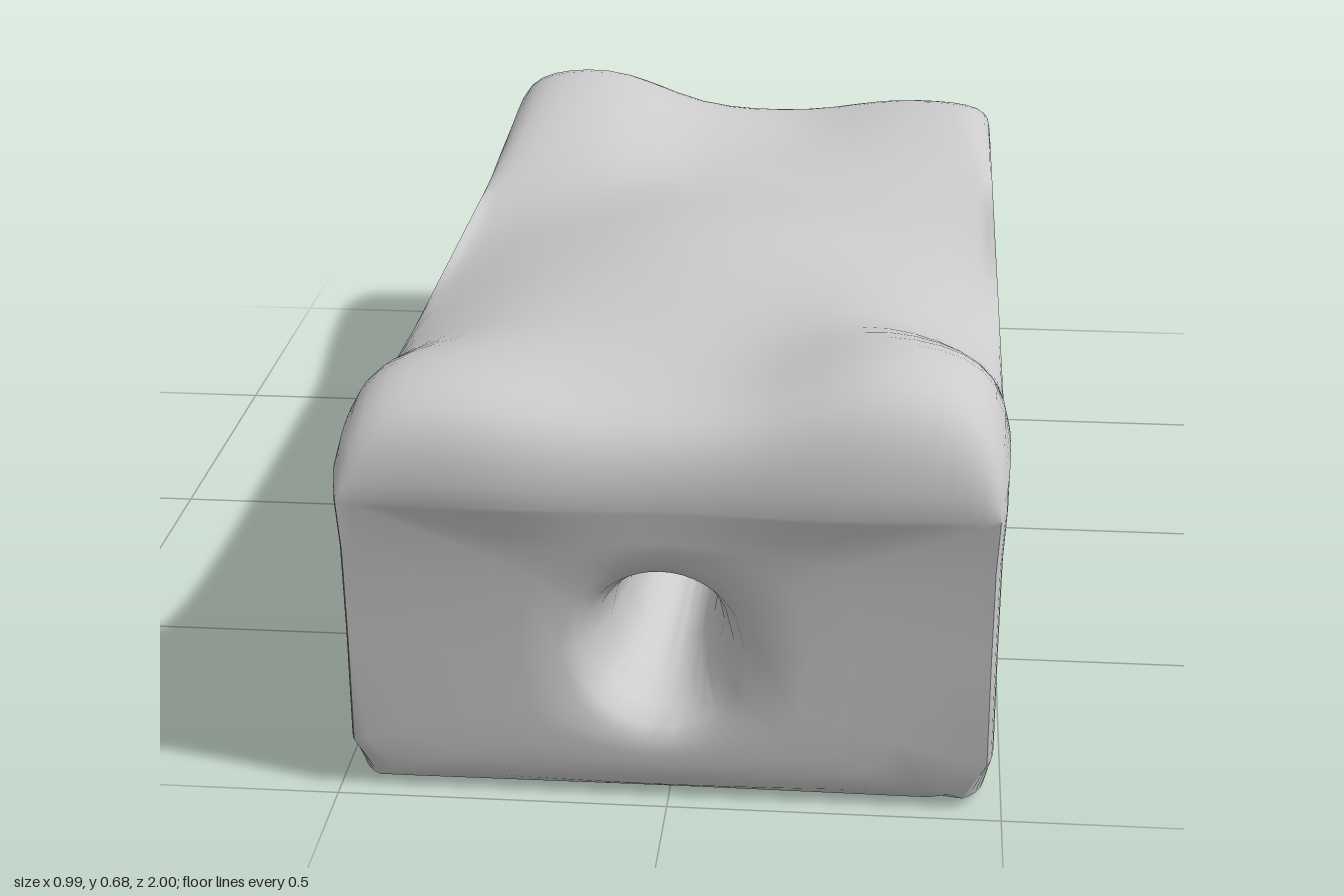
import * as THREE from 'three';
import { toCreasedNormals } from 'three/addons/utils/BufferGeometryUtils.js';

// Crown heights: rows run back to front, columns from x = -0.5 to 0.5
const ROW_Z = [-1, -0.85, -0.6, -0.4, 0, 0.5, 0.8, 1];
const COL_X = [-0.5, -0.3, -0.1, 0.1, 0.3, 0.5];
const HEIGHTS = [
  [0.58, 0.58, 0.515, 0.505, 0.535, 0.53],
  [0.595, 0.60, 0.535, 0.51, 0.54, 0.55],
  [0.55, 0.55, 0.505, 0.50, 0.505, 0.50],
  [0.485, 0.505, 0.51, 0.505, 0.495, 0.48],
  [0.48, 0.54, 0.575, 0.57, 0.535, 0.485],
  [0.53, 0.59, 0.61, 0.615, 0.61, 0.53],
  [0.62, 0.635, 0.62, 0.625, 0.678, 0.65],
  [0.62, 0.635, 0.615, 0.62, 0.67, 0.64],
];
// Wall profile: height, half width, half length
const WALL_Y = [0, 0.015, 0.08, 0.25, 0.4, 0.485];
const WALL_X = [0.45, 0.478, 0.488, 0.488, 0.489, 0.493];
const WALL_Z = [0.935, 0.966, 0.978, 0.978, 0.982, 0.99];
const RIM = 0.485;
const HOLE_Y = 0.245;

// Smooth interpolation through values v at positions p
function smooth(p, v, x) {
  let i = 0;
  while (i < p.length - 2 && x > p[i + 1]) i++;
  const t = (x - p[i]) / (p[i + 1] - p[i]);
  const slope = (k) => {
    const a = Math.max(k - 1, 0), b = Math.min(k + 1, p.length - 1);
    return ((v[b] - v[a]) / (p[b] - p[a])) * (p[i + 1] - p[i]);
  };
  const t2 = t * t, t3 = t2 * t;
  return (2 * t3 - 3 * t2 + 1) * v[i] + (t3 - 2 * t2 + t) * slope(i)
    + (3 * t2 - 2 * t3) * v[i + 1] + (t3 - t2) * slope(i + 1);
}

// Lumpy top that rolls down to the rim at every edge
function crown(u, s) {
  const h = smooth(ROW_Z, HEIGHTS.map((row) => smooth(COL_X, row, u / 2)), s);
  const edge = (v, n) => Math.sqrt(Math.max(0, 1 - Math.abs(v) ** n));
  return RIM + (h - RIM) * edge(u, 14) * edge(s, 24);
}

// One closed cross-section, anticlockwise seen from the front; s runs -1 to 1
function section(s) {
  const pts = [];
  // Plan corners are rounder at the foot than at the rim
  const corner = (y) => (0.012 + 0.03 * Math.max(0, 1 - y / 0.08)) * Math.abs(s) ** 40;
  const add = (x, y, hz) => pts.push(new THREE.Vector3(x, y, s * hz));
  const foot = WALL_X[0] - corner(0);
  for (let i = 0; i < 14; i++) add(foot * (-1 + i / 7), 0, WALL_Z[0]);
  WALL_Y.forEach((y, i) => add(WALL_X[i] - corner(y), y, WALL_Z[i]));
  // The crown swells sideways near the front and lengthways over each bump
  const half = WALL_X[5] - corner(RIM) + 0.007 * Math.exp(-(((s - 0.8) / 0.15) ** 2));
  for (let i = 1; i < 28; i++) {
    const u = Math.cos((Math.PI * i) / 28);
    add(u * half, crown(u, s), WALL_Z[5] + 0.01 * Math.sin(Math.PI * u) ** 2);
  }
  for (let i = WALL_Y.length - 1; i > 0; i--) {
    add(-WALL_X[i] + corner(WALL_Y[i]), WALL_Y[i], WALL_Z[i]);
  }
  return pts;
}

// Elliptical ring of the tunnel, matched to the directions of a section
function tunnelRing(base, cx, rx, ry, z) {
  return base.map((p) => {
    const a = Math.atan2(p.y - HOLE_Y, p.x * 0.6);
    return new THREE.Vector3(cx + rx * Math.cos(a), HOLE_Y + ry * Math.sin(a), z);
  });
}

function createBlock() {
  const rings = [];
  // Outer skin, with sections packed toward the ends
  const steps = 48;
  for (let i = 0; i <= steps; i++) rings.push(section(-Math.cos((Math.PI * i) / steps)));

  // End face and flared mouth, listed from the outside in
  const mouth = (side) => {
    const base = side > 0 ? rings[steps] : rings[0];
    const lip = tunnelRing(base, -0.01, 0.15, 0.15, side * 0.976);
    // The face follows the wall profile and fades out the swell of the rim
    const wall = (y) => smooth(WALL_Y, WALL_Z, y);
    const face = [0.06, 0.2, 0.4, 0.6, 0.8].map((t) => base.map((p, j) => {
      const q = p.clone().lerp(lip[j], t);
      const swell = side * p.z - wall(p.y);
      q.z = side * (wall(q.y) + swell * (1 - t) ** 2);
      return q;
    }));
    const flare = [[0.125, 0.13, 0.963], [0.105, 0.116, 0.925], [0.086, 0.106, 0.86], [0.07, 0.098, 0.74]];
    return [...face, lip, ...flare.map(([rx, ry, z]) => tunnelRing(base, -0.01, rx, ry, side * z))];
  };
  rings.push(...mouth(1));
  for (const z of [0.4, 0, -0.4]) rings.push(tunnelRing(rings[steps], -0.005, 0.062, 0.095, z));
  rings.push(...mouth(-1).reverse());

  // Join neighbouring rings; the last one closes onto the first
  const n = rings[0].length, index = [];
  for (let i = 0; i < rings.length; i++) {
    const r = i * n, q = ((i + 1) % rings.length) * n;
    for (let j = 0; j < n; j++) {
      const k = (j + 1) % n;
      index.push(r + j, r + k, q + k, r + j, q + k, q + j);
    }
  }
  const geometry = new THREE.BufferGeometry().setFromPoints(rings.flat());
  geometry.setIndex(index);
  return toCreasedNormals(geometry, 0.8);
}

export function createModel() {
  const group = new THREE.Group();
  group.name = 'hollowBlock';
  const material = new THREE.MeshStandardMaterial({ color: 0xcccccc });
  const block = new THREE.Mesh(createBlock(), material);
  block.name = 'blockWithTunnel';
  group.add(block);
  return group;
}
